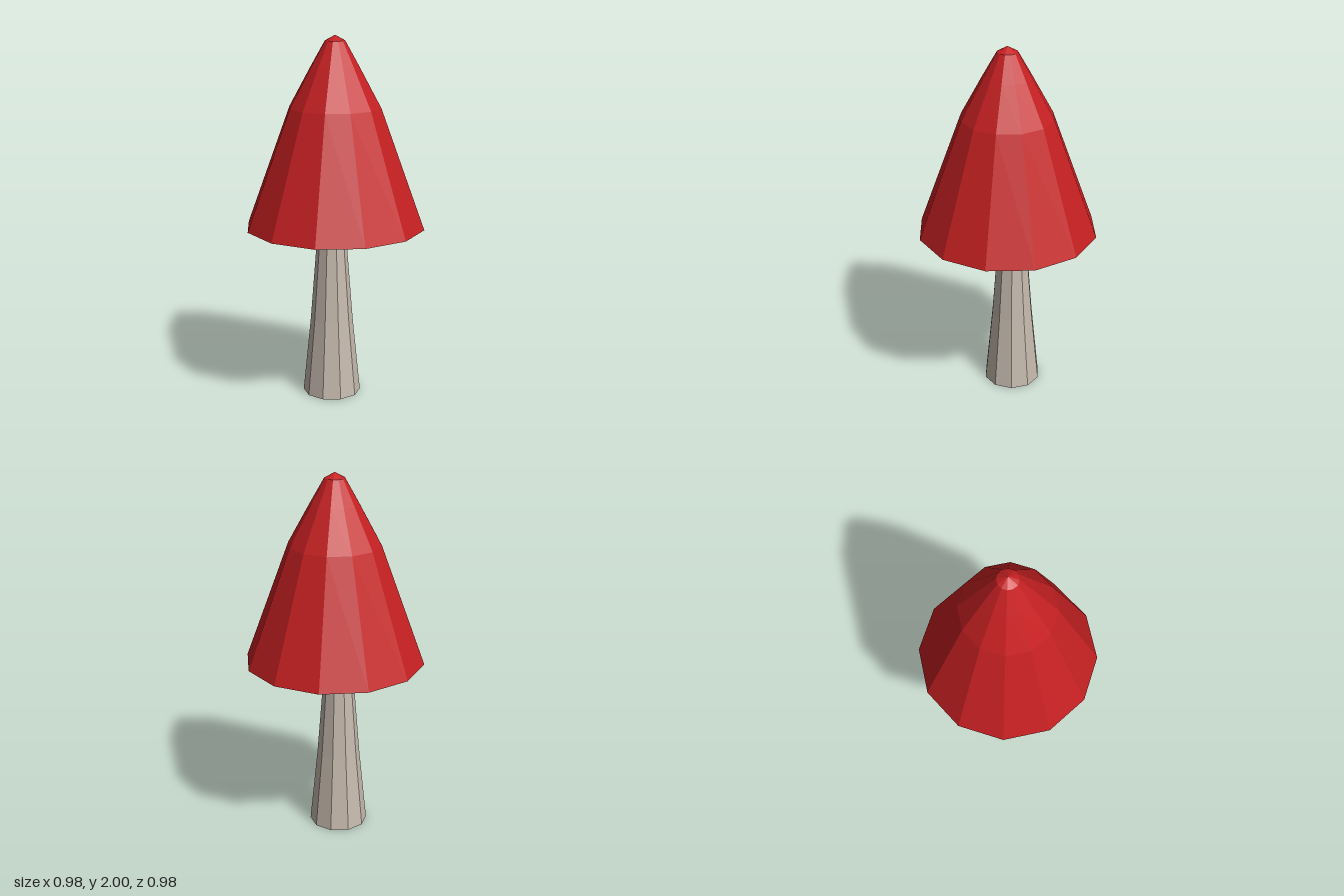
import * as THREE from 'three';

// Turn a [radius, height] profile into a faceted solid
function turned(name, profile, sides, color) {
  const points = profile.map(([r, y]) => new THREE.Vector2(r, y));
  const material = new THREE.MeshStandardMaterial({ color, flatShading: true });
  const mesh = new THREE.Mesh(new THREE.LatheGeometry(points, sides), material);
  mesh.name = name;
  return mesh;
}

export function createModel() {
  const group = new THREE.Group();
  group.name = 'mushroom';

  // Pointed cap with a flat underside
  const cap = turned('cap', [
    [0, 0.97], [0.49, 0.97], [0.25, 1.62], [0.132, 1.835], [0.055, 1.97], [0, 2],
  ], 12, 0xc62022);

  // Tapered stem, slightly off centre, closed at both ends
  const stem = turned('stem', [
    [0, 0], [0.16, 0], [0.117, 0.43], [0.074, 0.98], [0, 0.98],
  ], 10, 0xc6baae);
  stem.position.set(-0.01, 0, -0.03);

  group.add(cap, stem);
  return group;
}
